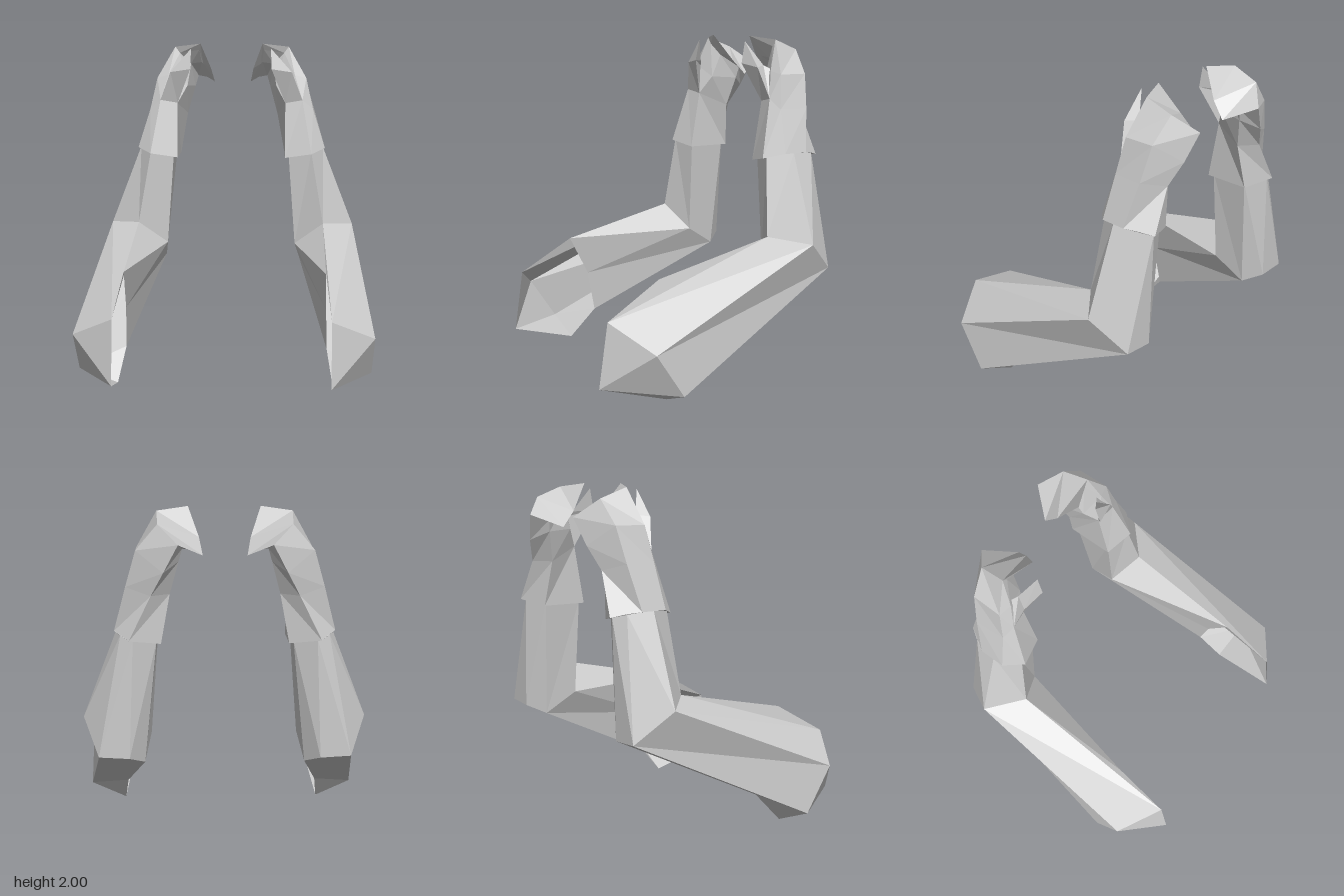
import * as THREE from 'three';

// Collects triangles from rings of points; side = 1 for left, -1 for right (mirrored)
function makePart(name, side, material, rings, { endTip, extra = [] } = {}) {
  const pos = [];
  const tri = (a, b, c) => {
    for (const p of side > 0 ? [a, b, c] : [a, c, b]) pos.push(p[0] * side, p[1], p[2]);
  };
  const n = rings[0].length;
  const last = rings[rings.length - 1];
  for (let i = 0; i < n; i++) {
    const j = (i + 1) % n;
    for (let r = 0; r < rings.length - 1; r++) {
      const a = rings[r][i], b = rings[r][j], c = rings[r + 1][j], d = rings[r + 1][i];
      tri(a, d, b);
      tri(b, d, c);
    }
    if (endTip) tri(endTip, last[j], last[i]);
  }
  extra.forEach(t => tri(...t));
  const geo = new THREE.BufferGeometry();
  geo.setAttribute('position', new THREE.Float32BufferAttribute(pos, 3));
  geo.computeVertexNormals();
  const mesh = new THREE.Mesh(geo, material);
  mesh.name = name;
  return mesh;
}

// Ring order: outer, front, inner, inner back, back, outer back
const shoulder = [
  [0.865, 0.36, 0.57], [0.61, 0.5, 0.73], [0.59, 0.69, 0.4],
  [0.6, 0.44, 0.27], [0.61, 0.18, 0.22], [0.865, 0.1, 0.4],
];
const elbow = [
  [0.8, 0.82, -0.5], [0.6, 0.85, -0.32], [0.42, 0.7, -0.41],
  [0.45, 0.58, -0.6], [0.53, 0.63, -0.7], [0.7, 0.64, -0.7],
];
const wrist = [
  [0.6, 1.33, -0.5], [0.52, 1.31, -0.36], [0.375, 1.28, -0.4],
  [0.375, 1.28, -0.63], [0.5, 1.3, -0.7], [0.57, 1.32, -0.65],
];
const hand = [
  // glove cuff
  [[0.61, 1.33, -0.43], [0.52, 1.3, -0.335], [0.35, 1.27, -0.38],
    [0.35, 1.27, -0.65], [0.52, 1.3, -0.725], [0.61, 1.33, -0.58]],
  // narrow of the wrist
  [[0.53, 1.58, -0.45], [0.46, 1.64, -0.42], [0.35, 1.62, -0.44],
    [0.3, 1.54, -0.62], [0.4, 1.54, -0.7], [0.54, 1.58, -0.63]],
  // palm
  [[0.485, 1.78, -0.48], [0.41, 1.8, -0.46], [0.29, 1.73, -0.5],
    [0.25, 1.72, -0.66], [0.33, 1.67, -0.75], [0.48, 1.78, -0.66]],
  // knuckles
  [[0.37, 1.98, -0.52], [0.34, 1.94, -0.52], [0.27, 1.87, -0.55],
    [0.23, 1.79, -0.67], [0.25, 1.82, -0.785], [0.36, 1.92, -0.68]],
  // curled fingertips
  [[0.2, 2, -0.45], [0.21, 1.96, -0.48], [0.2, 1.88, -0.54],
    [0.17, 1.78, -0.64], [0.12, 1.75, -0.64], [0.14, 1.84, -0.56]],
];
const thumb = [
  [[0.46, 1.64, -0.42], [0.35, 1.62, -0.44], [0.42, 1.79, -0.5]],
  [[0.39, 1.82, -0.38], [0.26, 1.84, -0.355], [0.35, 1.83, -0.45]],
];

export function createModel() {
  const grey = new THREE.MeshStandardMaterial({ color: 0xcccccc, flatShading: true, side: THREE.DoubleSide });
  grey.name = 'grey';
  const model = new THREE.Group();
  model.name = 'pairOfArms';
  const [outer, top, , , lower, lowerOuter] = shoulder;
  const point = [0.61, 0.13, 0.785], bottom = [0.64, 0.005, 0.38];

  for (const side of [1, -1]) {
    const arm = new THREE.Group();
    arm.name = side > 0 ? 'leftArm' : 'rightArm';
    // Hollow upper arm: pointed shoulder cap outside, open towards the body
    arm.add(makePart('upperArm', side, grey, [shoulder, elbow], {
      extra: [
        [point, outer, top], [point, lowerOuter, outer],
        [point, bottom, lowerOuter], [lower, lowerOuter, bottom],
      ],
    }));
    arm.add(makePart('forearm', side, grey, [elbow, wrist]));
    // Glove with a thin lip closing onto the forearm
    arm.add(makePart('hand', side, grey, [wrist, ...hand], { endTip: [0.19, 1.87, -0.55] }));
    arm.add(makePart('thumb', side, grey, thumb, { endTip: [0.255, 1.97, -0.38] }));
    model.add(arm);
  }
  return model;
}
